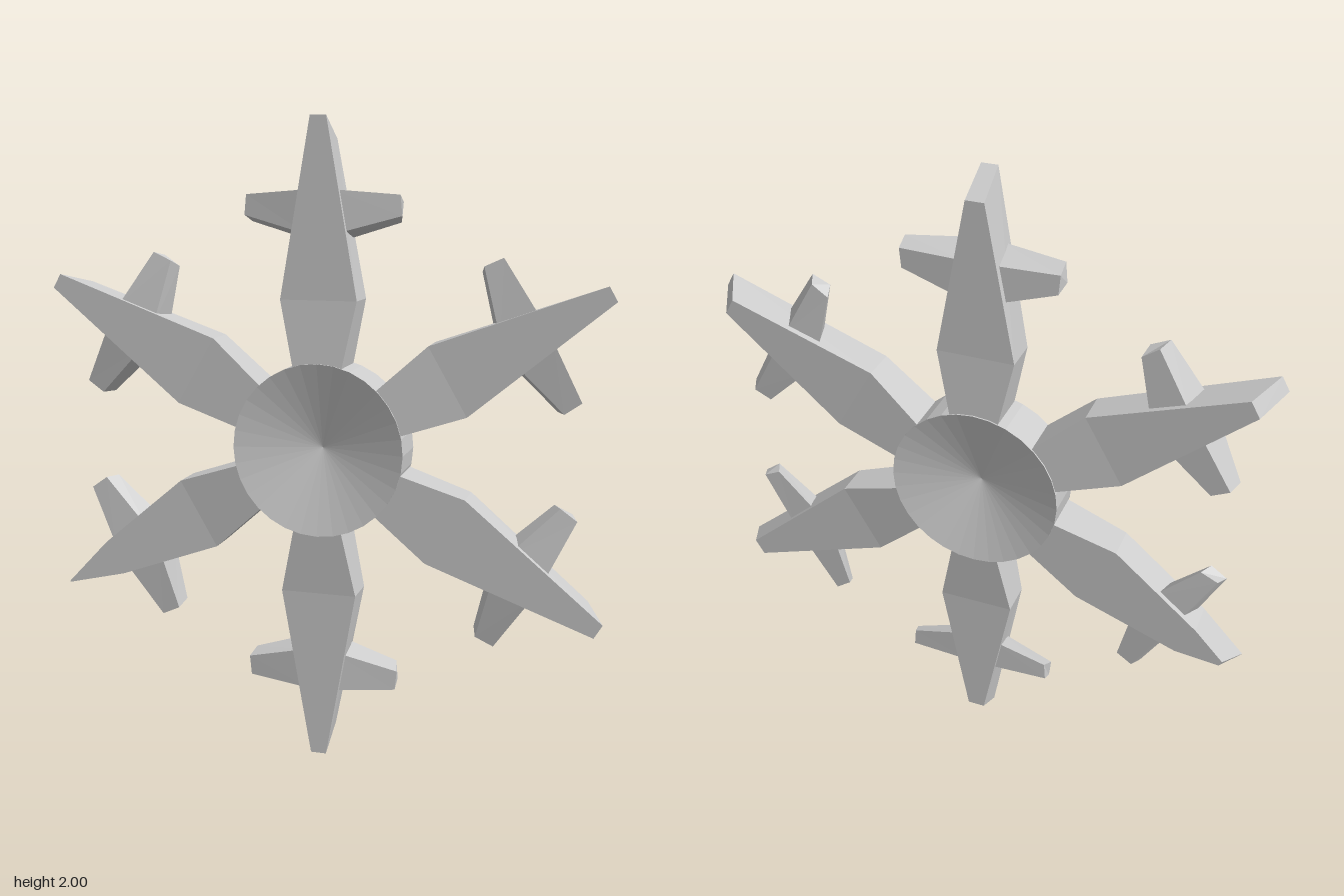
import * as THREE from 'three';

const material = new THREE.MeshStandardMaterial({ color: 0xcccccc, flatShading: true });

// Closed solid through four-cornered sections, corners counterclockwise seen from the far end
function loft(sections) {
  const pos = [];
  const quad = (a, b, c, d) => pos.push(...a, ...b, ...c, ...a, ...c, ...d);
  for (let s = 0; s < sections.length - 1; s++) {
    const a = sections[s], b = sections[s + 1];
    for (let i = 0; i < 4; i++) {
      const j = (i + 1) % 4;
      quad(a[i], a[j], b[j], b[i]);
    }
  }
  const first = sections[0], last = sections[sections.length - 1];
  quad(first[3], first[2], first[1], first[0]);
  quad(...last);
  const geometry = new THREE.BufferGeometry();
  geometry.setAttribute('position', new THREE.Float32BufferAttribute(pos, 3));
  geometry.computeVertexNormals();
  return geometry;
}

function part(name, geometry) {
  const mesh = new THREE.Mesh(geometry, material);
  mesh.name = name;
  return mesh;
}

// Rectangular arm section at radius r, half width w, half depth d
const armSection = (r, w, d) => [[w, r, d], [w, r, -d], [-w, r, -d], [-w, r, d]];

function armGeometry(pointed) {
  const sections = [armSection(0.256, 0.077, 0.071), armSection(0.46, 0.12, 0.056)];
  if (pointed) {
    // One arm tapers to a chipped point
    sections.push(armSection(0.805, 0.059, 0.056));
    sections.push([[0.002, 0.997, 0.056], [0.02, 0.935, -0.056], [0, 0.935, -0.056], [-0.002, 0.997, 0.056]]);
  } else {
    // The blunt tip slants back
    sections.push([[0.025, 1, 0.056], [0.028, 0.935, -0.056], [-0.028, 0.935, -0.056], [-0.025, 1, 0.056]]);
  }
  return loft(sections);
}

// Tapered side branch; side = 1 or -1
function branchGeometry(side) {
  const base = [[0.04, 0.63, -0.04], [0.04, 0.75, -0.04], [0.04, 0.787, 0.04], [0.04, 0.655, 0.04]];
  const tip = [[0.235, 0.69, -0.03], [0.24, 0.75, -0.03], [0.24, 0.772, 0.014], [0.246, 0.71, 0.014]];
  const place = (section) => {
    const points = section.map(([x, y, z]) => [x * side, y, z]);
    return side < 0 ? points.reverse() : points;
  };
  return loft([place(base), place(tip)]);
}

export function createModel() {
  const model = new THREE.Group();
  model.name = 'snowflake';

  // Round hub, dished on both faces
  const profile = [[0, -0.004], [0.27, -0.075], [0.27, 0.075], [0, 0.004]];
  const hub = part('hub', new THREE.LatheGeometry(profile.map(([x, y]) => new THREE.Vector2(x, y)), 32));
  hub.rotation.x = Math.PI / 2;
  hub.position.y = 1;
  model.add(hub);

  // Six arms, each with a pair of branches
  for (let i = 0; i < 6; i++) {
    const arm = new THREE.Group();
    arm.name = `arm${i + 1}`;
    arm.add(
      part('armBlade', armGeometry(i === 2)),
      part('leftBranch', branchGeometry(1)),
      part('rightBranch', branchGeometry(-1)),
    );
    arm.position.y = 1;
    arm.rotation.z = (i * Math.PI) / 3;
    model.add(arm);
  }
  return model;
}
